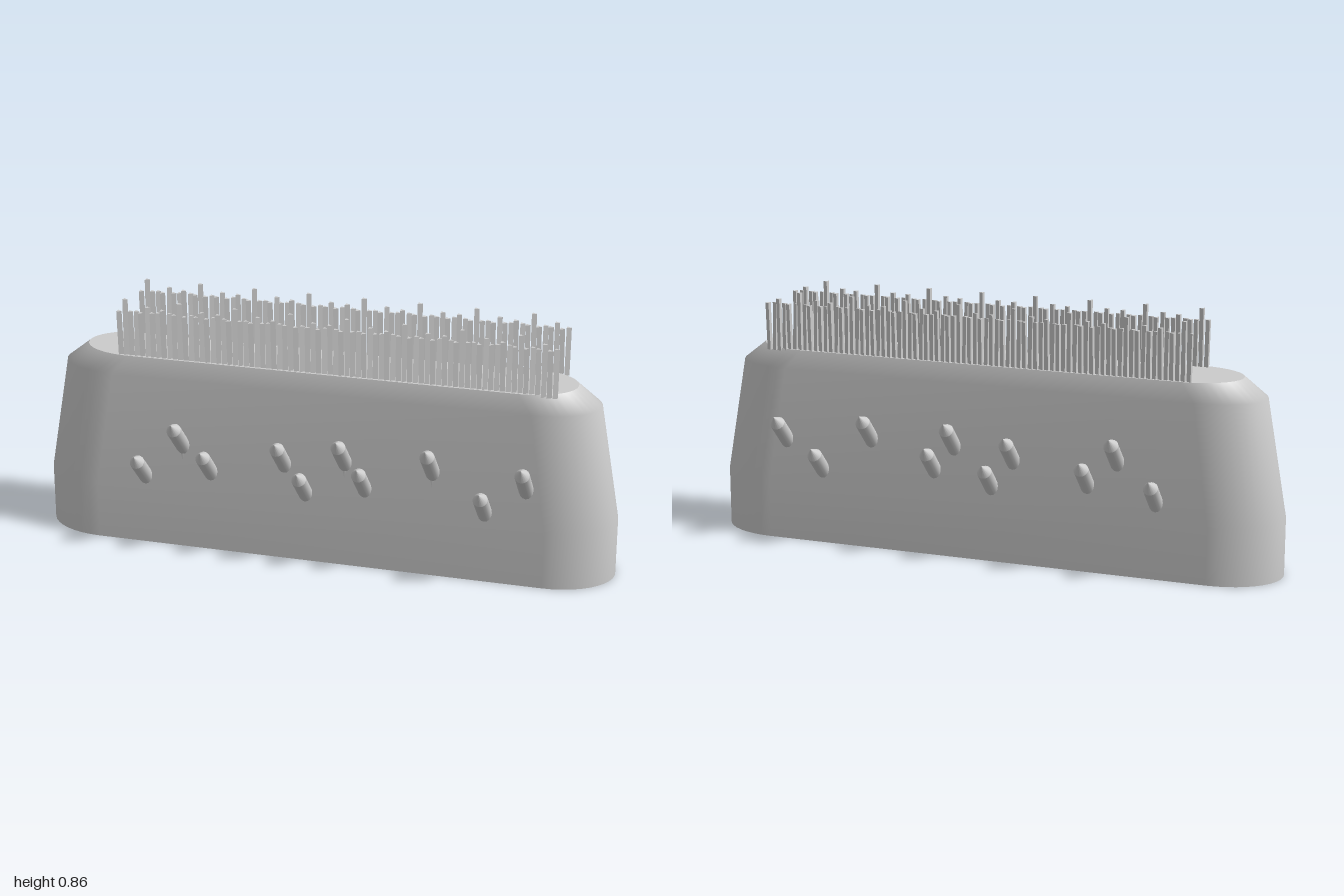
import * as THREE from 'three';

const grey = new THREE.MeshStandardMaterial({ color: 0xcccccc });
const greyDouble = new THREE.MeshStandardMaterial({ color: 0xcccccc, side: THREE.DoubleSide });
const greyFlat = new THREE.MeshStandardMaterial({ color: 0xcccccc, flatShading: true });
const CENTRE_Z = -0.007;

// Oblong outline: straight long sides with half-elliptical ends
function outline(halfX, halfZ, endLength) {
  const pts = [];
  const seg = 20;
  for (const side of [1, -1]) {
    for (let i = 0; i <= seg; i++) {
      const t = -Math.PI / 2 + (Math.PI * i) / seg;
      pts.push([side * (halfX - endLength + endLength * Math.cos(t)), side * halfZ * Math.sin(t)]);
    }
  }
  return pts;
}

// Open-bottomed hollow body, lofted through [y, halfX, halfZ, endLength]
function bodyGeometry() {
  const rings = [[0, 1, 0.167, 0.22], [0.2, 1, 0.165, 0.22], [0.6, 0.93, 0.141, 0.21], [0.663, 0.85, 0.123, 0.18]];
  const pos = [], index = [];
  let n = 0;
  const addRing = ([y, a, b, e]) => {
    const pts = outline(a, b, e);
    n = pts.length;
    for (const [x, z] of pts) pos.push(x, y, z + CENTRE_Z);
  };
  rings.forEach(addRing);
  for (let r = 0; r < rings.length - 1; r++) {
    for (let j = 0; j < n; j++) {
      const a = r * n + j, b = r * n + ((j + 1) % n);
      index.push(a, a + n, b, b, a + n, b + n);
    }
  }
  // Flat top with its own vertices for a sharp rim
  const start = pos.length / 3;
  addRing(rings[rings.length - 1]);
  pos.push(0, 0.663, CENTRE_Z);
  for (let j = 0; j < n; j++) index.push(start + n, start + ((j + 1) % n), start + j);
  const g = new THREE.BufferGeometry();
  g.setAttribute('position', new THREE.Float32BufferAttribute(pos, 3));
  g.setIndex(index);
  g.computeVertexNormals();
  return g;
}

// Pointed spike sloping outwards at 45 degrees, with an upright stem inside the body
const shaftGeo = new THREE.CylinderGeometry(0.025, 0.025, 0.15, 16);
const tipGeo = new THREE.ConeGeometry(0.025, 0.04, 16);
const stemGeo = new THREE.CapsuleGeometry(0.018, 0.18, 6, 12);
function makeSpike(x, tipY) {
  const spike = new THREE.Group();
  spike.name = 'spike';
  const slope = new THREE.Group();
  slope.name = 'slopedShaft';
  const tip = new THREE.Mesh(tipGeo, grey);
  tip.name = 'spikeTip';
  tip.position.y = -0.02;
  const shaft = new THREE.Mesh(shaftGeo, grey);
  shaft.name = 'spikeShaft';
  shaft.position.y = -0.115;
  slope.add(tip, shaft);
  slope.position.set(x, tipY, 0.26);
  slope.rotation.x = Math.PI / 4;
  const stem = new THREE.Mesh(stemGeo, grey);
  stem.name = 'spikeStem';
  stem.position.set(x, tipY - 0.23, 0.133);
  spike.add(slope, stem);
  return spike;
}

// One row of thin three-sided bristles, some longer, the rest leaning a little
function makeBristleRow(z) {
  const row = new THREE.Group();
  row.name = 'bristleRow';
  for (let i = 0; i < 78; i++) {
    const k = i % 10;
    const top = k === 1 ? 0.86 : k === 5 || k === 8 ? 0.835 : 0.82;
    const lean = k === 1 ? 0 : [0.06, -0.045, 0.02, -0.02][i % 4];
    const h = top - 0.655;
    const geo = new THREE.CylinderGeometry(0.0105, 0.0105, h, 3);
    geo.rotateY(Math.PI / 2).translate(0, h / 2, 0);
    const bristle = new THREE.Mesh(geo, greyFlat);
    bristle.name = 'bristle';
    bristle.position.set(-0.697 + i * 0.0193, 0.655, z);
    bristle.rotation.x = lean;
    row.add(bristle);
  }
  return row;
}

export function createModel() {
  const model = new THREE.Group();
  model.name = 'bristledBlock';

  const body = new THREE.Mesh(bodyGeometry(), greyDouble);
  body.name = 'body';
  model.add(body);

  // Spikes as [x, tip height], the same on both long sides
  const spikes = [[-0.605, 0.355], [-0.47, 0.485], [-0.37, 0.395], [-0.11, 0.455], [-0.035, 0.355],
    [0.1, 0.485], [0.17, 0.395], [0.4, 0.485], [0.58, 0.355], [0.715, 0.455]];
  for (const side of [1, -1]) {
    const set = new THREE.Group();
    set.name = side > 0 ? 'frontSpikes' : 'backSpikes';
    for (const [x, y] of spikes) set.add(makeSpike(side * x, y));
    if (side < 0) set.rotation.y = Math.PI;
    model.add(set);
  }

  model.add(makeBristleRow(0.102), makeBristleRow(-0.118));
  return model;
}
